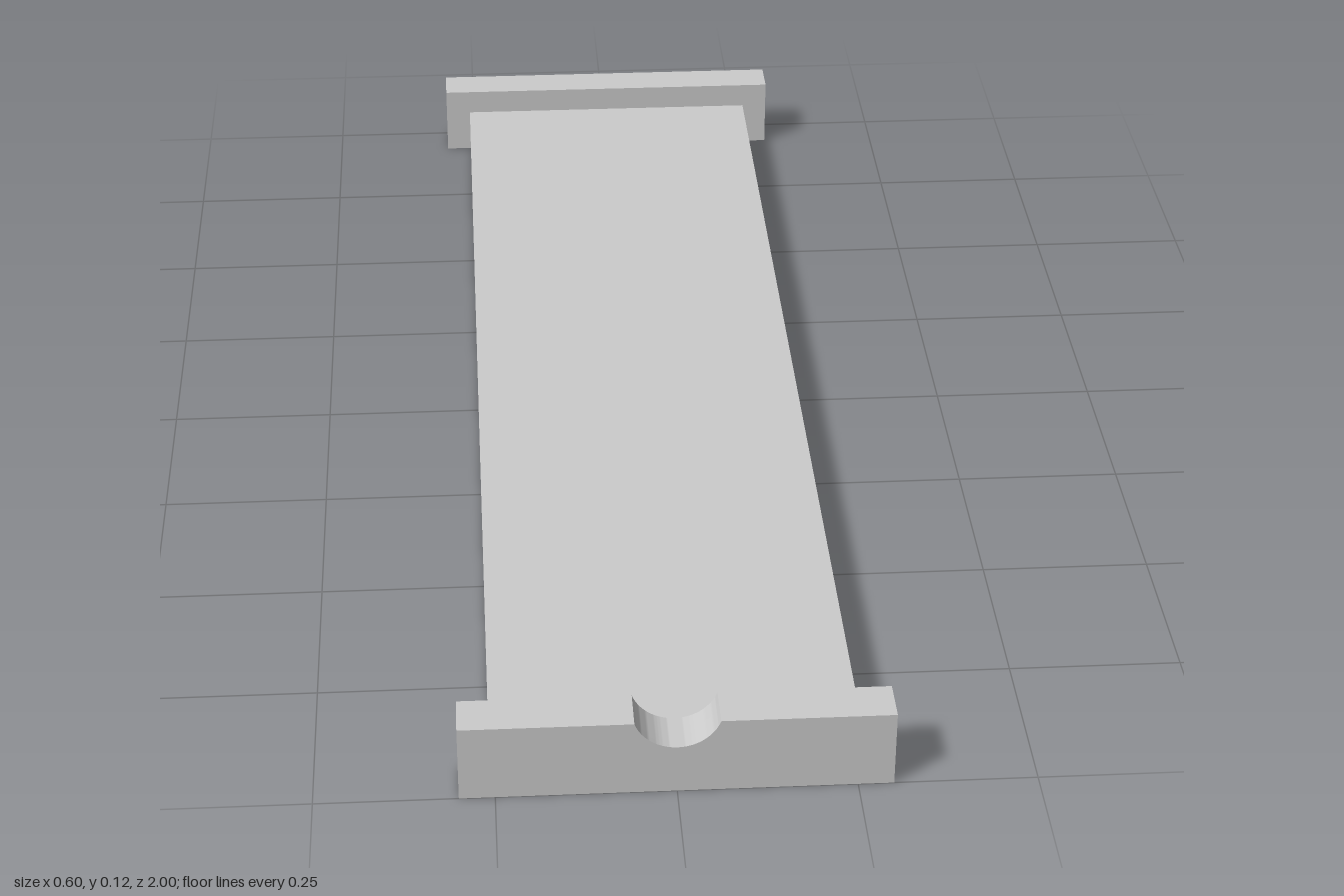
import * as THREE from 'three';
import { toCreasedNormals } from 'three/addons/utils/BufferGeometryUtils.js';

const HALF_WIDTH = 0.3, HEIGHT = 0.117, THICKNESS = 0.065;
const PLATE_WIDTH = 0.514, PLATE_HEIGHT = 0.075;
const NOTCH_HALF = 0.059;

export function createModel() {
  const group = new THREE.Group();
  const material = new THREE.MeshStandardMaterial({ color: 0xcccccc });

  const add = (name, geometry, y, z) => {
    const mesh = new THREE.Mesh(geometry, material);
    mesh.name = name;
    mesh.position.set(0, y, z);
    group.add(mesh);
  };

  // Long flat plate between the two end bars
  add('plate', new THREE.BoxGeometry(PLATE_WIDTH, PLATE_HEIGHT, 2 - 2 * THICKNESS), PLATE_HEIGHT / 2, 0);

  // Plain bar at the back
  add('backBar', new THREE.BoxGeometry(2 * HALF_WIDTH, HEIGHT, THICKNESS), HEIGHT / 2, -1 + THICKNESS / 2);

  // Front bar with a round notch reaching down to the plate surface
  const depth = HEIGHT - PLATE_HEIGHT;
  const radius = (NOTCH_HALF ** 2 + depth ** 2) / (2 * depth);
  const centreY = PLATE_HEIGHT + radius;
  const angle = Math.asin((centreY - HEIGHT) / radius);
  const profile = new THREE.Shape();
  profile.moveTo(-HALF_WIDTH, 0);
  profile.lineTo(HALF_WIDTH, 0);
  profile.lineTo(HALF_WIDTH, HEIGHT);
  profile.absarc(0, centreY, radius, -angle, angle - Math.PI, true);
  profile.lineTo(-HALF_WIDTH, HEIGHT);
  profile.closePath();
  const bar = new THREE.ExtrudeGeometry(profile, { depth: THICKNESS, bevelEnabled: false, curveSegments: 32 });
  add('frontBar', toCreasedNormals(bar, Math.PI / 6), 0, 1 - THICKNESS);

  return group;
}
